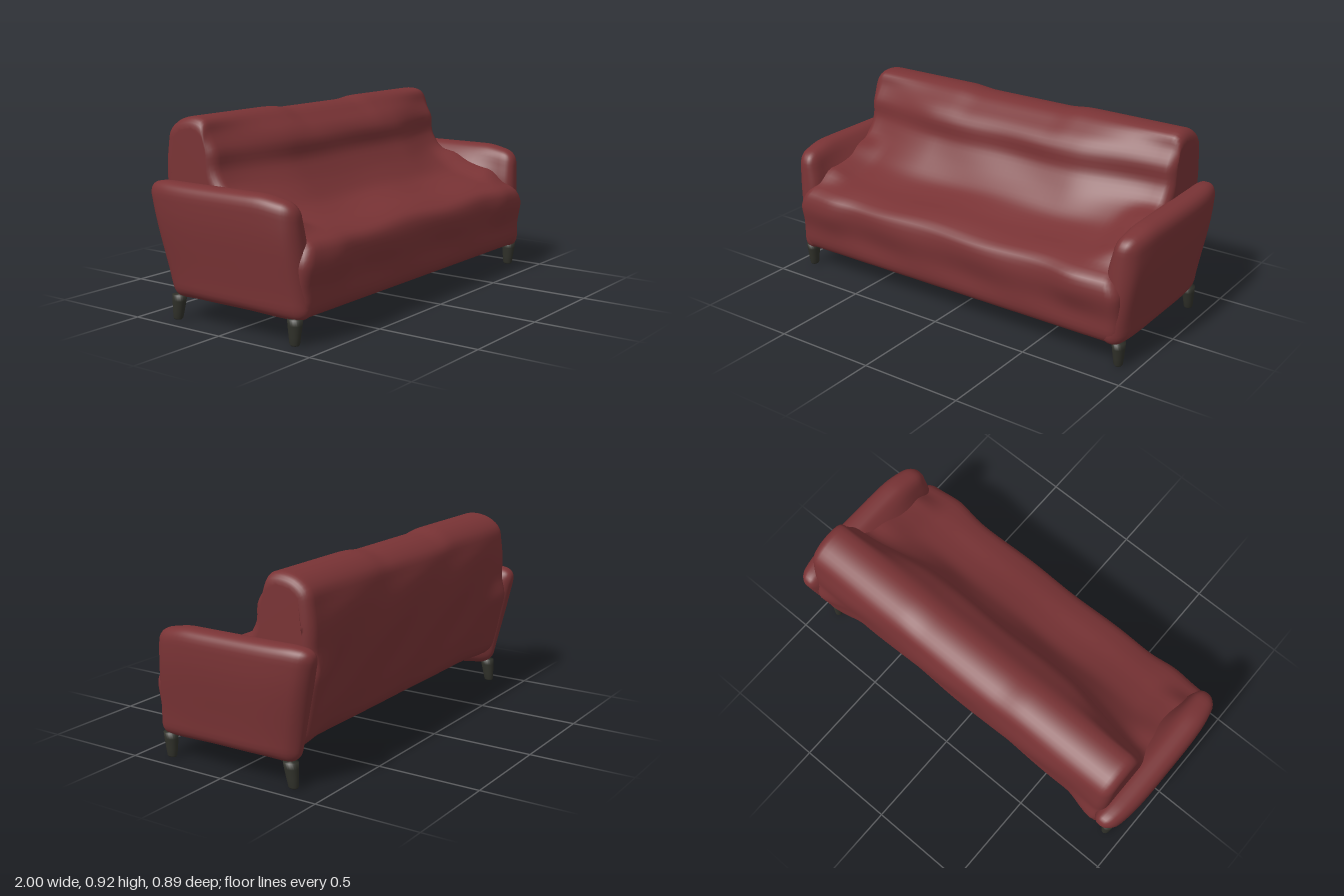
import * as THREE from 'three';
import { mergeVertices } from 'three/addons/utils/BufferGeometryUtils.js';

const smooth = THREE.MathUtils.smoothstep;
const lerp = THREE.MathUtils.lerp;

// Move every vertex by a rule, then give the welded surface smooth normals
function warp(geometry, rule) {
  geometry.deleteAttribute('uv');
  geometry.deleteAttribute('normal');
  const g = mergeVertices(geometry, 1e-4);
  const p = g.attributes.position;
  const v = new THREE.Vector3();
  for (let i = 0; i < p.count; i++) {
    rule(v.fromBufferAttribute(p, i));
    p.setXYZ(i, v.x, v.y, v.z);
  }
  g.computeVertexNormals();
  return g;
}

// Finely divided box with rounded edges, ready to be warped
function softBox(hx, hy, hz, r, rule) {
  const half = new THREE.Vector3(hx, hy, hz);
  const inner = half.clone().subScalar(r);
  const low = inner.clone().negate();
  const core = new THREE.Vector3();
  const box = new THREE.BoxGeometry(2, 2, 2, 16, 24, 32);
  return warp(box, (v) => {
    // crowd the divisions towards the edges
    v.set(Math.sin(v.x * Math.PI / 2), Math.sin(v.y * Math.PI / 2), Math.sin(v.z * Math.PI / 2));
    v.multiply(half);
    core.copy(v).clamp(low, inner);
    v.sub(core).normalize().multiplyScalar(r).add(core);
    rule(v);
  });
}

// Seat and backrest: one side profile (z, y) drawn across the width
function bodyGeometry() {
  const profile = [
    [0.38, 0.115], [0.412, 0.15], [0.415, 0.25], [0.428, 0.36], [0.41, 0.425], [0.34, 0.458],
    [0.21, 0.485], [0.115, 0.52], [0.05, 0.578], [0, 0.64], [-0.036, 0.7], [-0.045, 0.78],
    [-0.075, 0.83], [-0.13, 0.875], [-0.19, 0.915], [-0.25, 0.925], [-0.33, 0.907], [-0.388, 0.86],
    [-0.405, 0.8], [-0.414, 0.72], [-0.408, 0.61], [-0.378, 0.42], [-0.35, 0.28], [-0.318, 0.19],
    [-0.25, 0.138], [-0.14, 0.115], [0, 0.11],
  ].map(([z, y]) => new THREE.Vector3(-z, y, 0));
  const curve = new THREE.CatmullRomCurve3(profile, true, 'centripetal');
  const outline = curve.getSpacedPoints(120).slice(0, -1).map((p) => new THREE.Vector2(p.x, p.y));
  const g = new THREE.ExtrudeGeometry(new THREE.Shape(outline), {
    depth: 1.69, steps: 56, bevelThickness: 0.05, bevelSize: 0.05, bevelOffset: -0.05, bevelSegments: 6,
  });
  g.translate(0, 0, -0.845).rotateY(Math.PI / 2);
  return warp(g, (v) => {
    const ax = Math.abs(v.x);
    const { x, y, z } = v;
    // the back cushion recedes towards its ends
    v.z -= 0.075 * smooth(ax, 0.4, 0.88) * smooth(y, 0.48, 0.64) * smooth(z, -0.2, -0.06);
    // the rear flares out to meet the arms
    v.z -= 0.04 * smooth(ax, 0.66, 0.87) * smooth(-z, 0.2, 0.36) * (1 - smooth(y, 0.48, 0.62));
    // seat front bulges near the ends
    v.z += 0.018 * Math.exp(-(((ax - 0.7) / 0.1) ** 2)) * smooth(z, 0.3, 0.42) * smooth(y, 0.2, 0.36);
    // the front spreads sideways across the ends of the arms
    v.x += Math.sign(x) * 0.035 * smooth(z, 0.2, 0.36) * (1 - smooth(y, 0.34, 0.45)) * smooth(ax, 0.7, 0.89);
    // the seat rises softly into the arms
    v.y += 0.045 * smooth(ax, 0.68, 0.85) * smooth(y, 0.42, 0.47) * (1 - smooth(y, 0.52, 0.64))
      * smooth(z, -0.02, 0.08) * (1 - smooth(z, 0.26, 0.37));
    // slight dip in the middle of the top, and loose cloth waves
    v.y -= 0.012 * (1 - smooth(ax, 0.22, 0.36)) * smooth(y, 0.75, 0.92);
    v.y += 0.005 * Math.sin(x * 9 + z * 7) * smooth(z, 0, 0.15) * smooth(y, 0.35, 0.45);
    v.z += 0.004 * Math.sin(x * 11 + y * 14) * smooth(y, 0.12, 0.25) * (1 - smooth(y, 0.75, 0.9));
  });
}

// Arm: soft slab, bowed outside, leaning back, sloping inwards to the seat
function armGeometry(side) {
  return softBox(0.07, 0.265, 0.42, 0.06, (v) => {
    const t = (v.x * side / 0.07 + 1) / 2;
    const k = (v.y + 0.265) / 0.53;
    const s = v.z / 0.42;
    const y = 0.108 + 0.532 * k;
    const front = 0.417 - 0.04 * k;
    const back = -0.347 - 0.112 * k;
    const outer = 0.965 + 0.037 * smooth(k, 0, 0.8) - 0.04 * s ** 4;
    const slope = lerp(0.12, 0.03, smooth(s, 0.1, 0.9)) * smooth(s, -1.1, -0.5);
    const inner = 0.868 - slope * (1 - smooth(k, 0.62, 1));
    v.set(
      side * lerp(inner, outer, t),
      y - 0.03 * k * smooth(s, 0.55, 1.05) - 0.012 * k * smooth(-s, 0.7, 1),
      lerp(back, front, (s + 1) / 2),
    );
  });
}

// Tapered leg with a rounded foot
function legGeometry(lean) {
  const points = [[0, 0], [0.018, 0.001], [0.024, 0.008], [0.028, 0.04], [0.034, 0.09], [0.036, 0.118], [0, 0.12]]
    .map(([r, y]) => new THREE.Vector2(r, y));
  const g = new THREE.LatheGeometry(points, 20);
  return warp(g, (v) => {
    v.x *= 0.85;
    v.z += lean * (0.12 - v.y);
  });
}

export function createModel() {
  const fabric = new THREE.MeshStandardMaterial({ color: 0x793335 });
  fabric.name = 'red fabric';
  const wood = new THREE.MeshStandardMaterial({ color: 0x30312a });
  wood.name = 'dark wood';

  const sofa = new THREE.Group();
  sofa.name = 'sofa';
  const add = (name, geometry, material) => {
    const mesh = new THREE.Mesh(geometry, material);
    mesh.name = name;
    sofa.add(mesh);
    return mesh;
  };

  add('seatAndBack', bodyGeometry(), fabric);
  for (const side of [1, -1]) {
    const label = side > 0 ? 'left' : 'right';
    add(label + 'Arm', armGeometry(side), fabric);
    add(label + 'FrontLeg', legGeometry(-0.03), wood).position.set(side * 0.912, 0, 0.355);
    add(label + 'BackLeg', legGeometry(-0.12), wood).position.set(side * 0.912, 0, -0.314);
  }
  return sofa;
}
